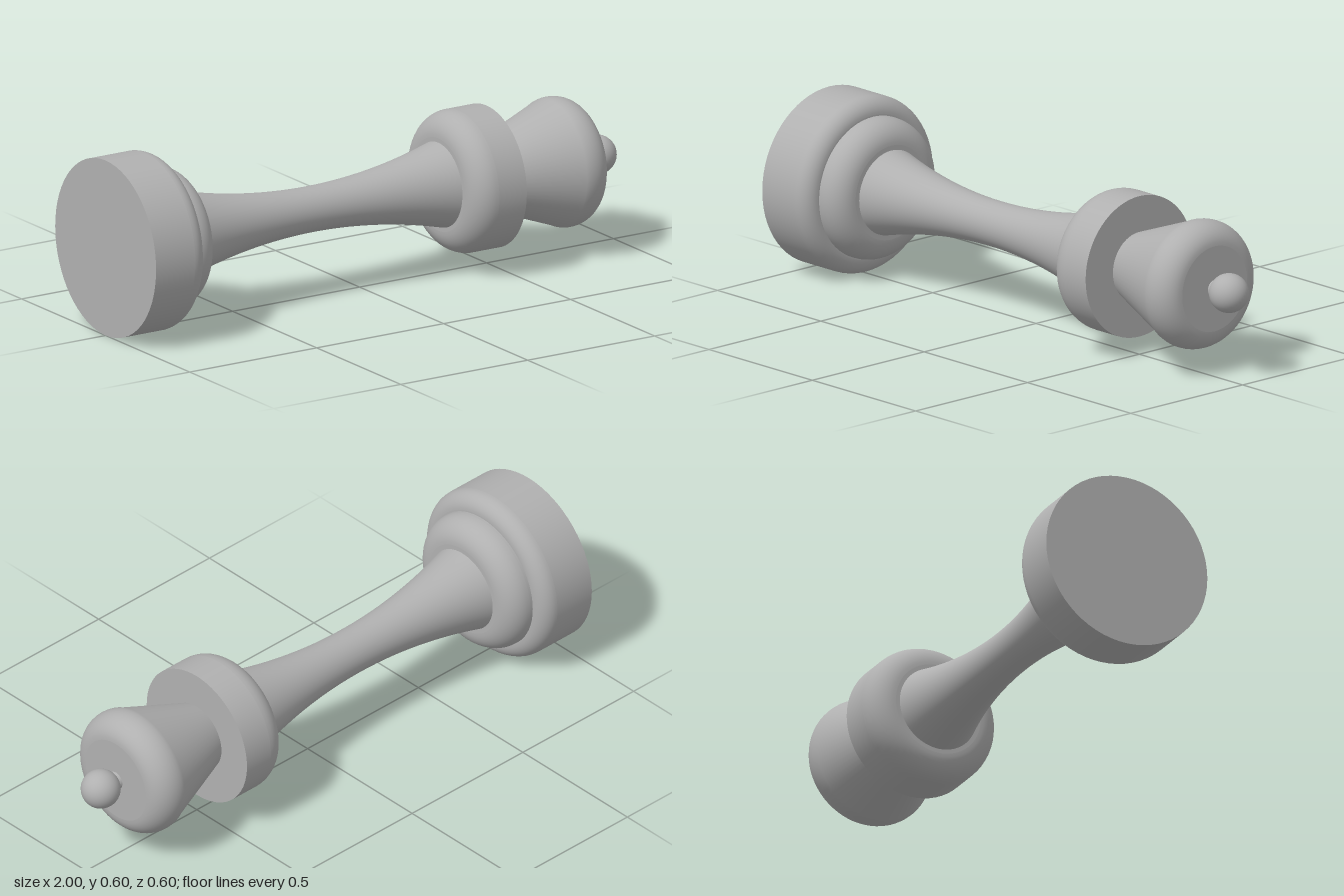
import * as THREE from 'three';

const AXIS_Y = 0.3; // height of the turning axis above the ground

const stone = new THREE.MeshStandardMaterial({ color: 0xb0b0b0 });
stone.name = 'plain grey';

// Points are [radius, x along the axis].
const line = (...pts) => pts.map(([r, t]) => new THREE.Vector2(r, t));

// Elliptical quarter fillet around a centre, from angle a to b in degrees.
const fillet = (r, t, rr, rt, a, b, n = 12) =>
  Array.from({ length: n + 1 }, (_, i) => {
    const k = THREE.MathUtils.degToRad(a + ((b - a) * i) / n);
    return new THREE.Vector2(r + rr * Math.cos(k), t + rt * Math.sin(k));
  });

// Repeated points where segments meet keep the corners crisp.
function turned(name, ...segments) {
  const geometry = new THREE.LatheGeometry(segments.flat(), 64);
  geometry.rotateZ(-Math.PI / 2);
  const mesh = new THREE.Mesh(geometry, stone);
  mesh.name = name;
  mesh.position.y = AXIS_Y;
  return mesh;
}

export function createModel() {
  const model = new THREE.Group();
  model.name = 'lyingChessPiece';

  // Wide foot with a rounded rim
  model.add(turned('base',
    line([0, -1], [0.3, -1]),
    line([0.3, -1], [0.3, -0.845]),
    fillet(0.245, -0.845, 0.055, 0.055, 0, 90),
    line([0.245, -0.79], [0, -0.79])));

  // Rounded step above the foot
  model.add(turned('baseStep',
    line([0.24, -0.8], [0.24, -0.78]),
    fillet(0.16, -0.78, 0.08, 0.08, 0, 90),
    line([0.16, -0.7], [0, -0.7])));

  // Waisted stem, following a shallow curve
  const stem = [];
  for (let i = 0; i <= 32; i++) {
    const s = (i / 32) * 2 - 1;
    stem.push(new THREE.Vector2(0.076 + 0.069 * s * s, -0.195 + 0.51 * s));
  }
  model.add(turned('stem', stem));

  // Collar, rounded towards the stem and flat towards the head
  model.add(turned('collar',
    line([0, 0.31], [0.158, 0.31]),
    fillet(0.158, 0.392, 0.082, 0.082, -90, 0),
    line([0.24, 0.392], [0.24, 0.5]),
    line([0.24, 0.5], [0, 0.5])));

  // Flared head with a rounded crown
  model.add(turned('head',
    line([0.116, 0.495], [0.212, 0.755]),
    fillet(0.145, 0.783, 0.073, 0.082, -20, 90),
    line([0.145, 0.865], [0, 0.865])));

  // Short neck and ball on the crown
  model.add(turned('finialNeck', line([0.032, 0.86], [0.026, 0.885])));
  const ball = new THREE.Mesh(new THREE.SphereGeometry(0.066, 40, 24), stone);
  ball.name = 'finialBall';
  ball.position.set(0.934, AXIS_Y, 0);
  model.add(ball);

  return model;
}
